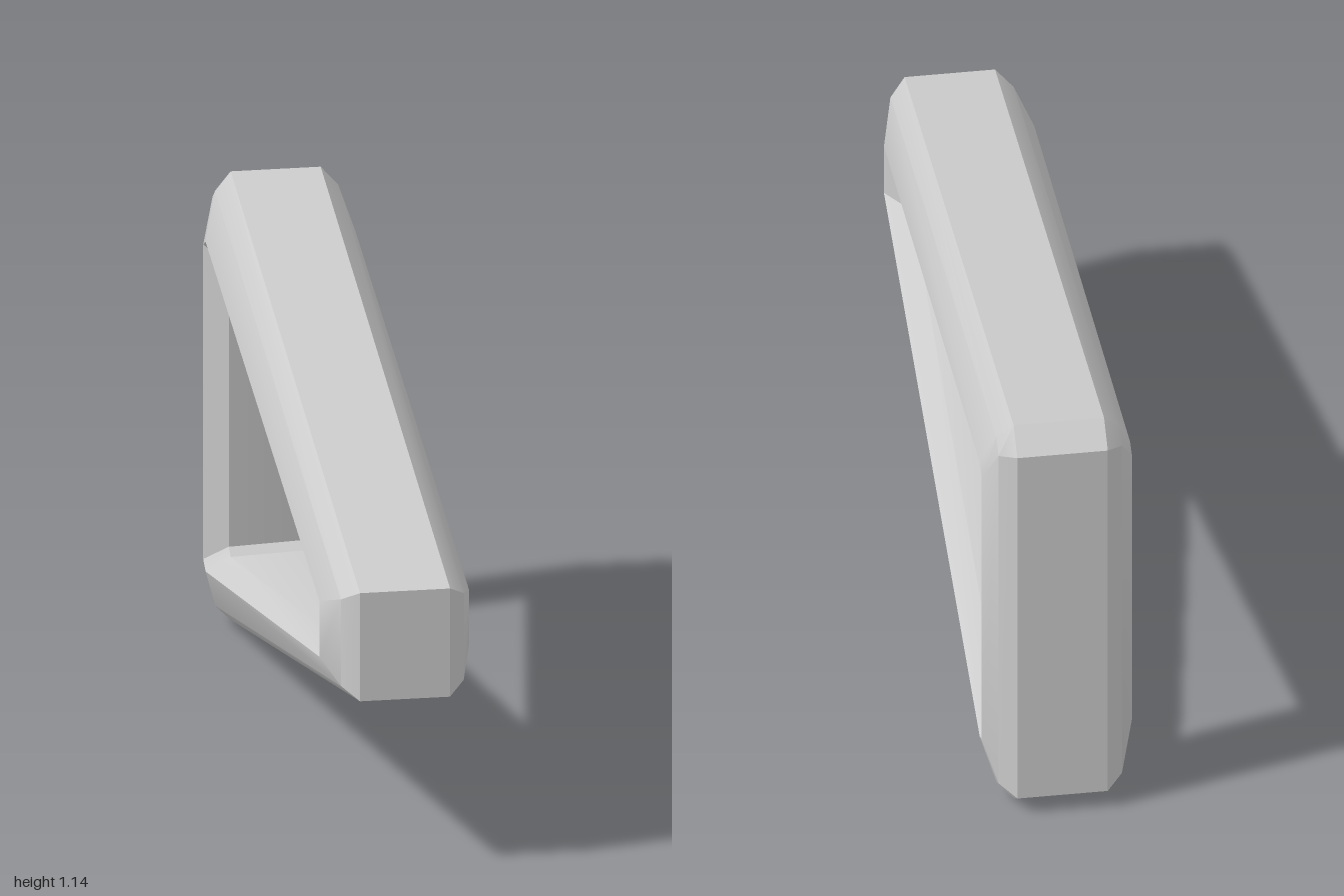
import * as THREE from 'three';
import { toCreasedNormals } from 'three/addons/utils/BufferGeometryUtils.js';

// Outlines as [z, y]: front top, front bottom, back bottom pair, back top pair
const OUTER = [[1, 0.71], [1, 0.435], [-0.935, 0], [-1, 0.05], [-1, 1.09], [-0.935, 1.14]];
const BEVEL = [[0.96, 0.683], [0.96, 0.463], [-0.92, 0.042], [-0.96, 0.07], [-0.96, 1.07], [-0.92, 1.098]];
const HOLE = [[0.82, 0.645], [0.82, 0.503], [-0.88, 0.155], [-0.915, 0.175], [-0.915, 0.975], [-0.88, 0.993]];
const INNER = [[0.725, 0.632], [0.725, 0.517], [-0.84, 0.202], [-0.87, 0.218], [-0.87, 0.93], [-0.84, 0.945]];

// Rings running from the hole on the left, round the outside, to the hole on the right;
// the opening on the right side sits slightly further forward
const SHIFT = 0.03;
const RINGS = [
  [0.13, INNER, 0], [0.185, HOLE, 0], [0.15, BEVEL, 0], [0.11, OUTER, 0],
  [-0.11, OUTER, 0], [-0.15, BEVEL, 0], [-0.185, HOLE, SHIFT], [-0.13, INNER, SHIFT],
];

// Join the rings into one closed tube-like band around the opening
function frameGeometry() {
  const positions = [];
  const index = [];
  const n = OUTER.length;
  for (const [x, outline, dz] of RINGS) {
    for (const [z, y] of outline) positions.push(x, y, z + dz);
  }
  for (let r = 0; r < RINGS.length; r++) {
    const next = (r + 1) % RINGS.length;
    for (let j = 0; j < n; j++) {
      const k = (j + 1) % n;
      const a = r * n + j, b = r * n + k, c = next * n + k, d = next * n + j;
      index.push(a, d, c, a, c, b);
    }
  }
  const geometry = new THREE.BufferGeometry();
  geometry.setAttribute('position', new THREE.Float32BufferAttribute(positions, 3));
  geometry.setIndex(index);
  return toCreasedNormals(geometry, THREE.MathUtils.degToRad(35));
}

export function createModel() {
  const group = new THREE.Group();
  group.name = 'triangularFrame';
  const frame = new THREE.Mesh(frameGeometry(), new THREE.MeshStandardMaterial({ color: 0xcccccc }));
  frame.name = 'bevelledFrame';
  group.add(frame);
  return group;
}
